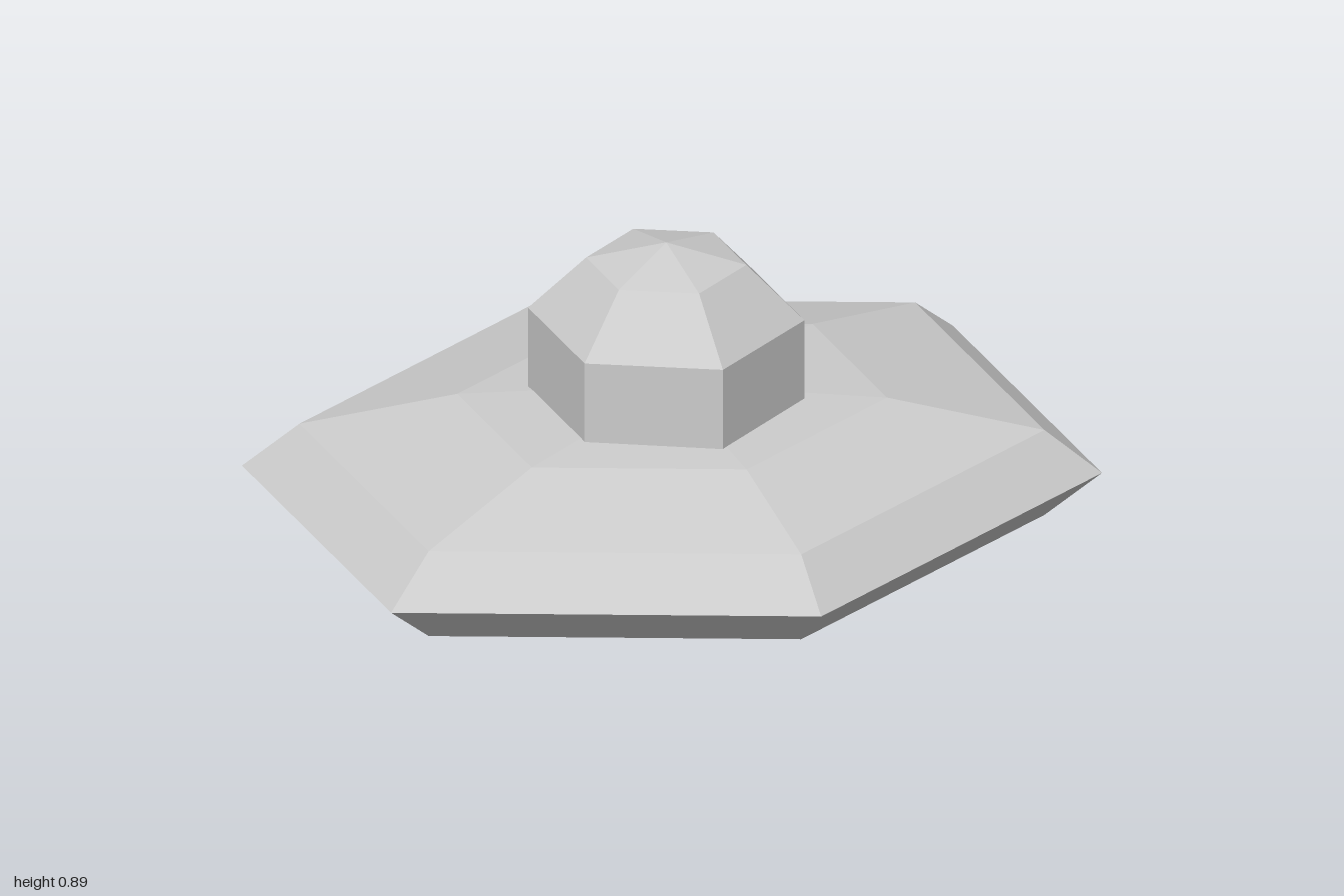
import * as THREE from 'three';

const SIDES = 6;

// Faceted solid spun from [radius, height] pairs, listed bottom to top
function facetedSolid(name, profile) {
  const points = profile.map(([r, y]) => new THREE.Vector2(r, y));
  const material = new THREE.MeshStandardMaterial({ color: 0xcccccc, flatShading: true });
  const mesh = new THREE.Mesh(new THREE.LatheGeometry(points, SIDES), material);
  mesh.name = name;
  return mesh;
}

export function createModel() {
  const model = new THREE.Group();
  model.name = 'flyingSaucer';

  // Hull: a squashed sphere with six sides and six rings
  const halfHeight = 0.243;
  const rings = [];
  for (let i = 0; i <= 6; i++) {
    const a = (i / 6) * Math.PI;
    rings.push([Math.abs(Math.sin(a)), -Math.cos(a)]);
  }
  const hull = facetedSolid('hull', rings);
  hull.scale.set(1 / Math.cos(Math.PI / 6), halfHeight, 0.94);
  hull.position.y = halfHeight;
  model.add(hull);

  // Cabin: straight hexagonal wall under a faceted dome, sunk into the hull
  const cabin = facetedSolid('cabin', [
    [0, 0.44], [0.357, 0.44], [0.357, 0.688], [0.207, 0.839], [0, 0.893],
  ]);
  cabin.position.set(-0.014, 0, -0.005);
  model.add(cabin);

  return model;
}
